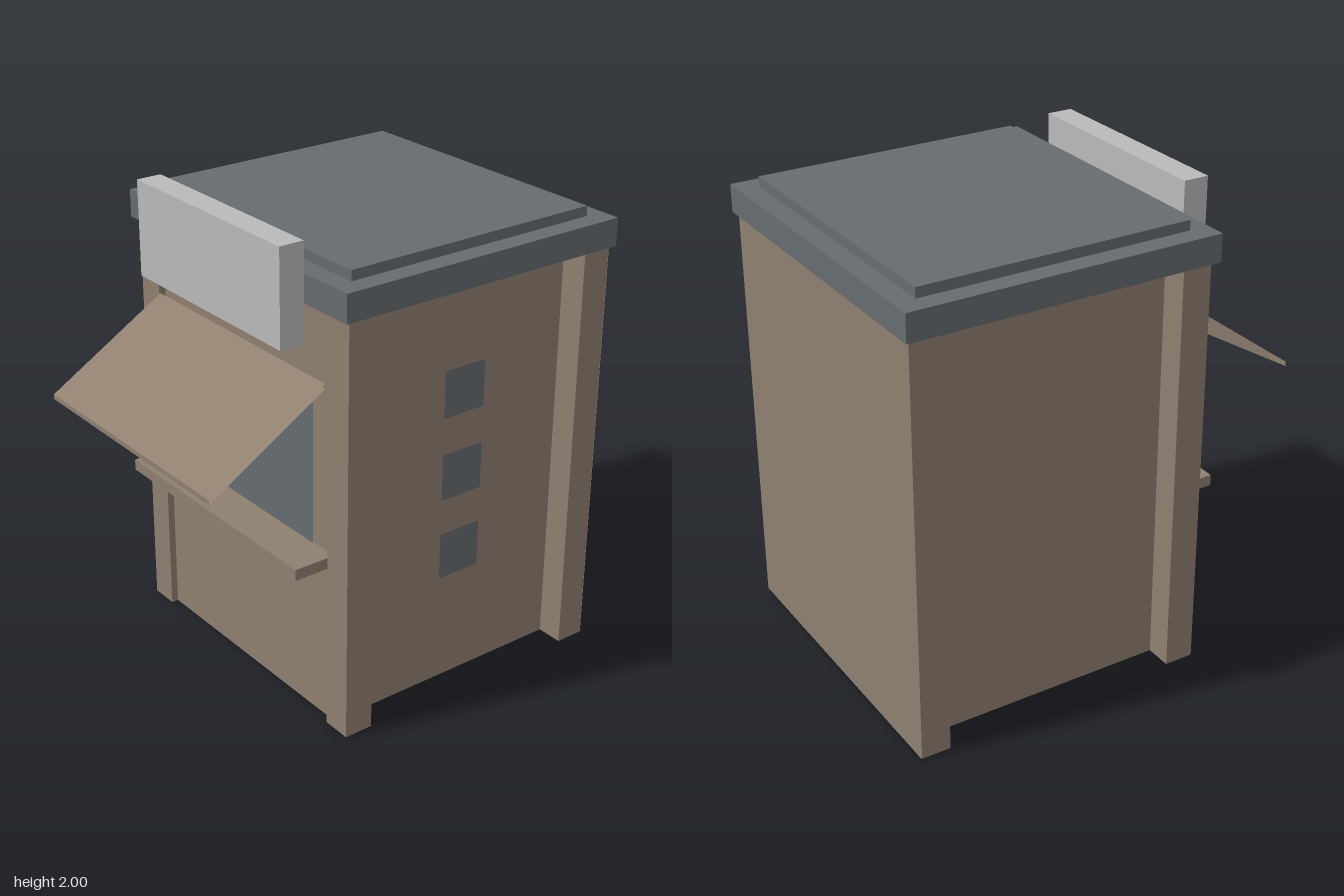
import * as THREE from 'three';

const H = 1.76; // wall height

export function createModel() {
  const model = new THREE.Group();
  model.name = 'kiosk';

  const wood = new THREE.MeshStandardMaterial({ color: 0x8f8070, side: THREE.DoubleSide });
  wood.name = 'brown panel';
  const slate = new THREE.MeshStandardMaterial({ color: 0x656c70 });
  slate.name = 'slate grey';
  const pale = new THREE.MeshStandardMaterial({ color: 0xbababa });
  pale.name = 'pale grey';

  const add = (name, geometry, material, x, y, z, turn = 0) => {
    const mesh = new THREE.Mesh(geometry, material);
    mesh.name = name;
    mesh.position.set(x, y, z);
    mesh.rotation.y = turn;
    model.add(mesh);
    return mesh;
  };

  // Solid box given by its limits
  const block = (name, material, [x0, x1], [y0, y1], [z0, z1]) =>
    add(name, new THREE.BoxGeometry(x1 - x0, y1 - y0, z1 - z0), material,
      (x0 + x1) / 2, (y0 + y1) / 2, (z0 + z1) / 2);

  // Box without the two faces on one axis (0 = x, 1 = y, 2 = z)
  const sleeve = (w, h, d, axis) => {
    const g = new THREE.BoxGeometry(w, h, d);
    const index = Array.from(g.index.array);
    index.splice(axis * 12, 12);
    g.clearGroups();
    g.setIndex(index);
    return g;
  };

  // Hollow corner posts
  for (const [side, x] of [['left', 0.6275], ['right', -0.6275]]) {
    for (const [end, z] of [['Front', 0.3225], ['Back', -0.8225]]) {
      add(side + end + 'Post', sleeve(0.125, H, 0.125, 1), wood, x, H / 2, z);
    }
  }

  // Thin wall panels, open at the bottom
  add('frontWall', new THREE.PlaneGeometry(1.15, H), wood, 0, H / 2, 0.355);
  add('backWall', new THREE.PlaneGeometry(1.38, H), wood, 0, H / 2, -0.887, Math.PI);
  add('leftWall', new THREE.PlaneGeometry(1.24, H), wood, 0.575, H / 2, -0.265, Math.PI / 2);
  add('rightWall', new THREE.PlaneGeometry(1.24, H), wood, -0.575, H / 2, -0.265, -Math.PI / 2);

  // Serving window and three small windows on the left wall
  add('servingWindow', new THREE.PlaneGeometry(0.885, 0.68), slate, 0, 1.06, 0.36);
  for (const y of [0.57, 0.922, 1.28]) {
    add('sideWindow', new THREE.PlaneGeometry(0.2, 0.2), slate, 0.58, y, -0.267, Math.PI / 2);
  }

  // Counter shelf
  block('counterShelf', wood, [-0.57, 0.567], [0.705, 0.752], [0.35, 0.535]);

  // Awning with open ends, sheared down towards the front
  const awning = sleeve(1.108, 0.02, 0.515, 0);
  const p = awning.attributes.position;
  for (let i = 0; i < p.count; i++) p.setY(i, p.getY(i) - p.getZ(i) * (0.31 / 0.515));
  awning.computeVertexNormals();
  add('awning', awning, wood, -0.002, 1.305, 0.6425);

  // Roof slab with a raised panel
  block('roofSlab', slate, [-0.713, 0.71], [H, 1.875], [-0.905, 0.412]);
  block('roofPanel', slate, [-0.628, 0.625], [1.875, 1.917], [-0.82, 0.327]);

  // Blank sign board
  block('signBoard', pale, [-0.47, 0.466], [1.605, 2], [0.415, 0.522]);

  return model;
}
